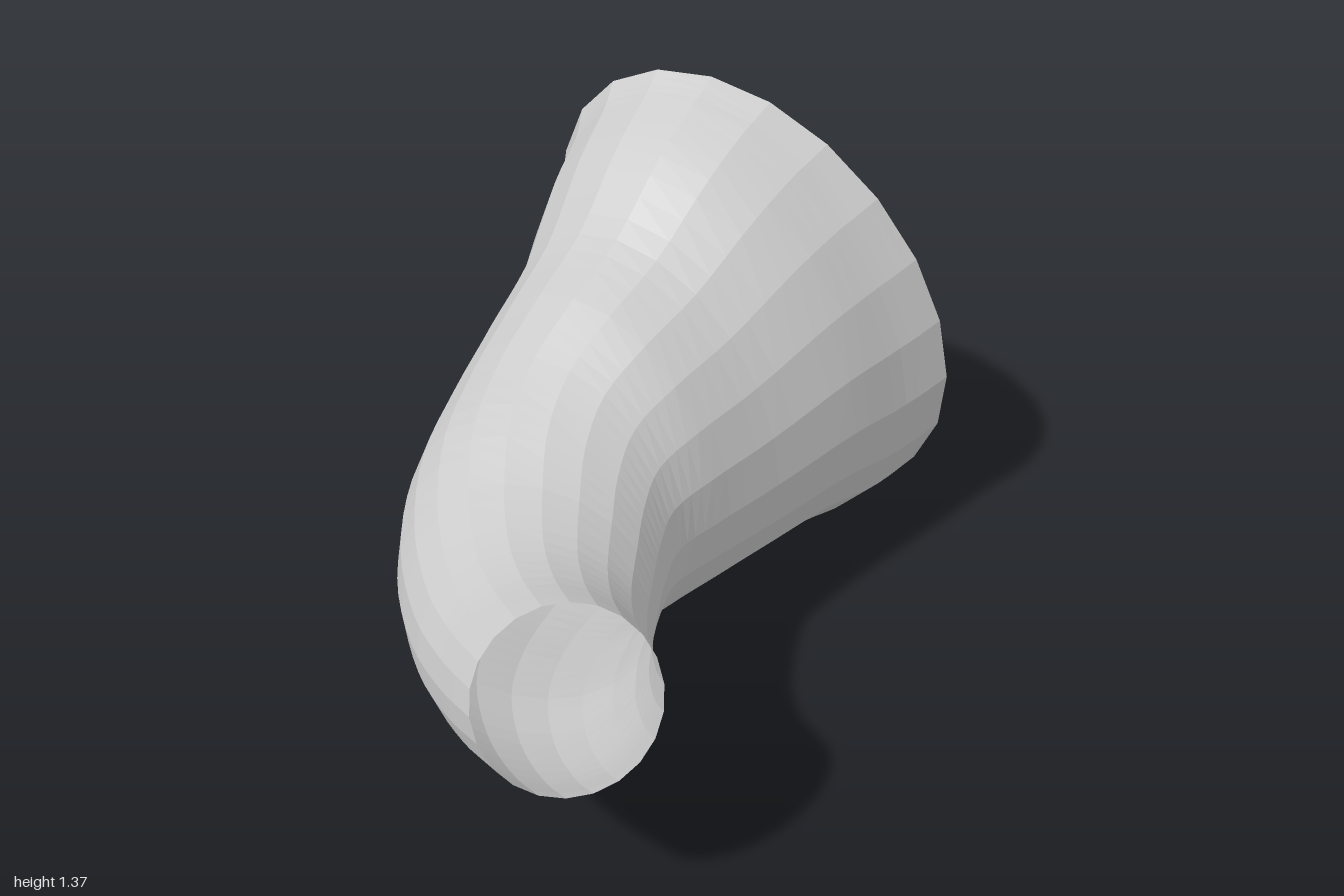
import * as THREE from 'three';

// Cross-sections from the wide rear rim to the narrow front mouth:
// [centre, sideways half-axis, upward half-axis]
const SECTIONS = [
  [[-0.195, 0.70, -0.815], [0.575, -0.13, -0.165], [0, 0.662, 0.09]],
  [[-0.18, 0.67, -0.70], [0.54, -0.12, -0.12], [0, 0.655, 0.08]],
  [[-0.15, 0.665, -0.51], [0.50, -0.10, -0.09], [0, 0.59, 0.06]],
  [[-0.11, 0.61, -0.25], [0.437, -0.06, -0.05], [0, 0.515, 0.03]],
  [[-0.08, 0.59, -0.02], [0.40, -0.03, -0.03], [0, 0.47, 0]],
  [[-0.035, 0.575, 0.16], [0.365, 0, -0.06], [-0.02, 0.41, -0.01]],
  [[0.05, 0.575, 0.33], [0.33, 0, -0.12], [-0.03, 0.35, -0.02]],
  [[0.175, 0.585, 0.49], [0.275, 0, -0.17], [-0.04, 0.29, -0.04]],
  [[0.33, 0.61, 0.63], [0.21, 0, -0.187], [-0.06, 0.25, -0.05]],
  [[0.48, 0.665, 0.73], [0.16, 0, -0.185], [-0.085, 0.215, -0.06]],
  [[0.617, 0.743, 0.81], [0.12, 0, -0.18], [-0.09, 0.187, -0.06]],
];
const SIDES = 22;
const RINGS = 40;

// Skin a smooth run of elliptical rings, open at both ends
function loft(sections) {
  const [centre, side, up] = [0, 1, 2].map(
    (k) => new THREE.CatmullRomCurve3(sections.map((s) => new THREE.Vector3(...s[k])))
  );
  const positions = [];
  const index = [];
  for (let r = 0; r <= RINGS; r++) {
    const t = r / RINGS;
    const c = centre.getPoint(t);
    const p = side.getPoint(t);
    const q = up.getPoint(t);
    for (let j = 0; j < SIDES; j++) {
      const angle = (j / SIDES) * Math.PI * 2;
      const v = c.clone().addScaledVector(p, Math.cos(angle)).addScaledVector(q, Math.sin(angle));
      positions.push(v.x, v.y, v.z);
      if (r === RINGS) continue;
      const a = r * SIDES + j;
      const b = r * SIDES + ((j + 1) % SIDES);
      index.push(a, b, a + SIDES, b, b + SIDES, a + SIDES);
    }
  }
  const geometry = new THREE.BufferGeometry();
  geometry.setAttribute('position', new THREE.Float32BufferAttribute(positions, 3));
  geometry.setIndex(index);
  geometry.computeVertexNormals();
  return geometry;
}

export function createModel() {
  const group = new THREE.Group();
  group.name = 'curvedHorn';
  const grey = new THREE.MeshStandardMaterial({
    color: 0xcccccc, flatShading: true, side: THREE.DoubleSide,
  });
  grey.name = 'light grey';

  // Flared, bent tube wall
  const wall = new THREE.Mesh(loft(SECTIONS), grey);
  wall.name = 'flaredTube';
  group.add(wall);
  return group;
}
